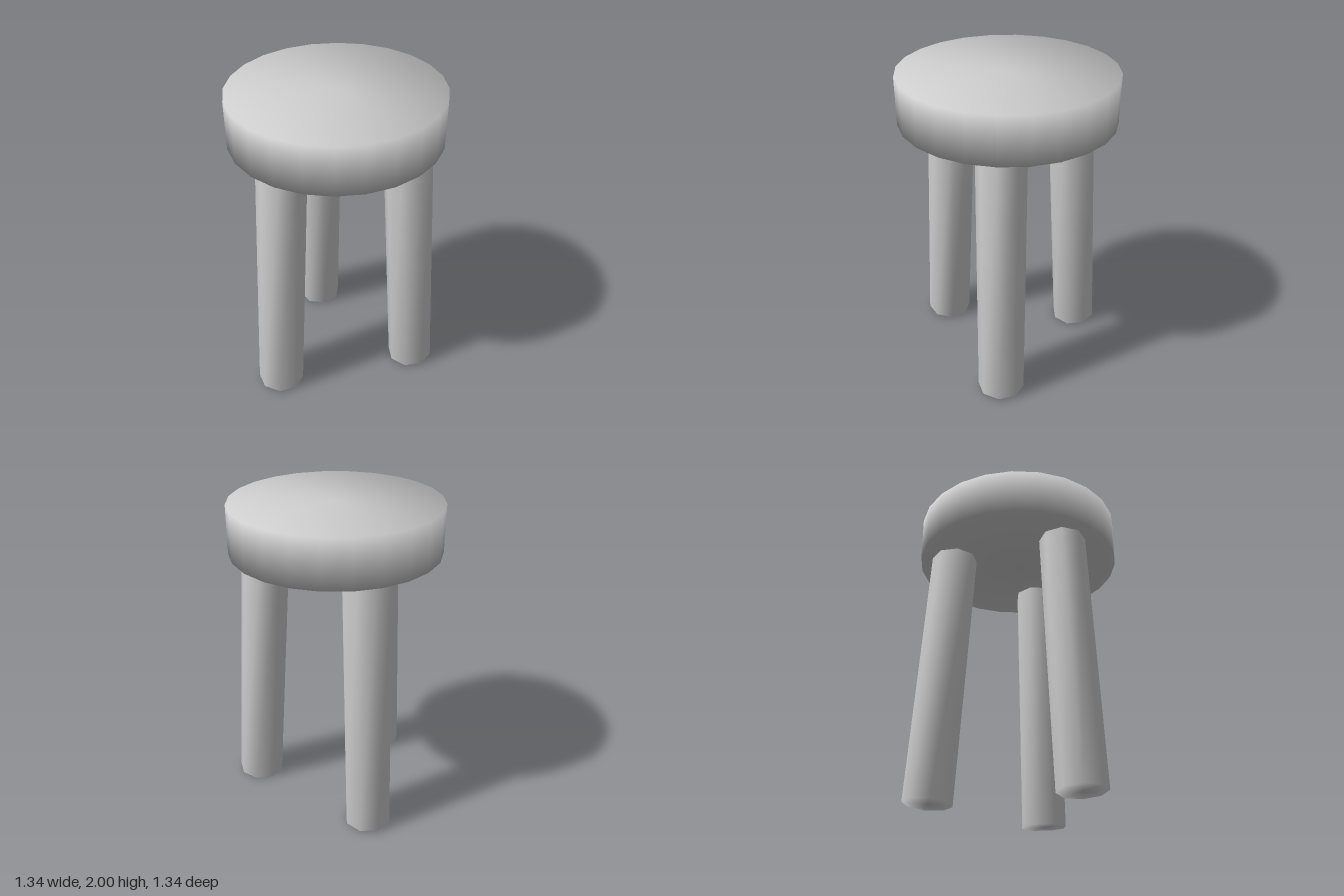
import * as THREE from 'three';
import { mergeVertices } from 'three/addons/utils/BufferGeometryUtils.js';

// Closed cylinder with normals smoothed over its rims
function softCylinder(radius, height, sides) {
  const geo = new THREE.CylinderGeometry(radius, radius, height, sides);
  geo.deleteAttribute('uv');
  geo.deleteAttribute('normal');
  const merged = mergeVertices(geo, 1e-4);
  merged.computeVertexNormals();
  return merged;
}

export function createModel() {
  const grey = new THREE.MeshStandardMaterial({ color: 0xcccccc });
  grey.name = 'light grey';

  const stool = new THREE.Group();
  stool.name = 'stool';
  const centreX = -0.018;

  // Round seat, slightly narrower from side to side
  const seat = new THREE.Mesh(softCylinder(0.67, 0.3, 24), grey);
  seat.name = 'seat';
  seat.scale.x = 0.975;
  seat.position.set(centreX, 1.85, 0);
  stool.add(seat);

  // Three splayed eight-sided legs, their tops sunk into the seat
  const tilt = 0.06;
  const length = 1.73;
  const legGeometry = softCylinder(0.15, length, 8);
  legGeometry.translate(0, length / 2, 0);
  ['leftLeg', 'backRightLeg', 'frontRightLeg'].forEach((name, i) => {
    const pivot = new THREE.Group();
    pivot.name = name;
    pivot.position.x = centreX;
    pivot.rotation.y = (i * Math.PI * 2) / 3;
    const leg = new THREE.Mesh(legGeometry, grey);
    leg.name = name + 'Post';
    leg.position.set(0.54, 0.009, 0);
    leg.rotation.z = tilt;
    pivot.add(leg);
    stool.add(pivot);
  });

  return stool;
}
